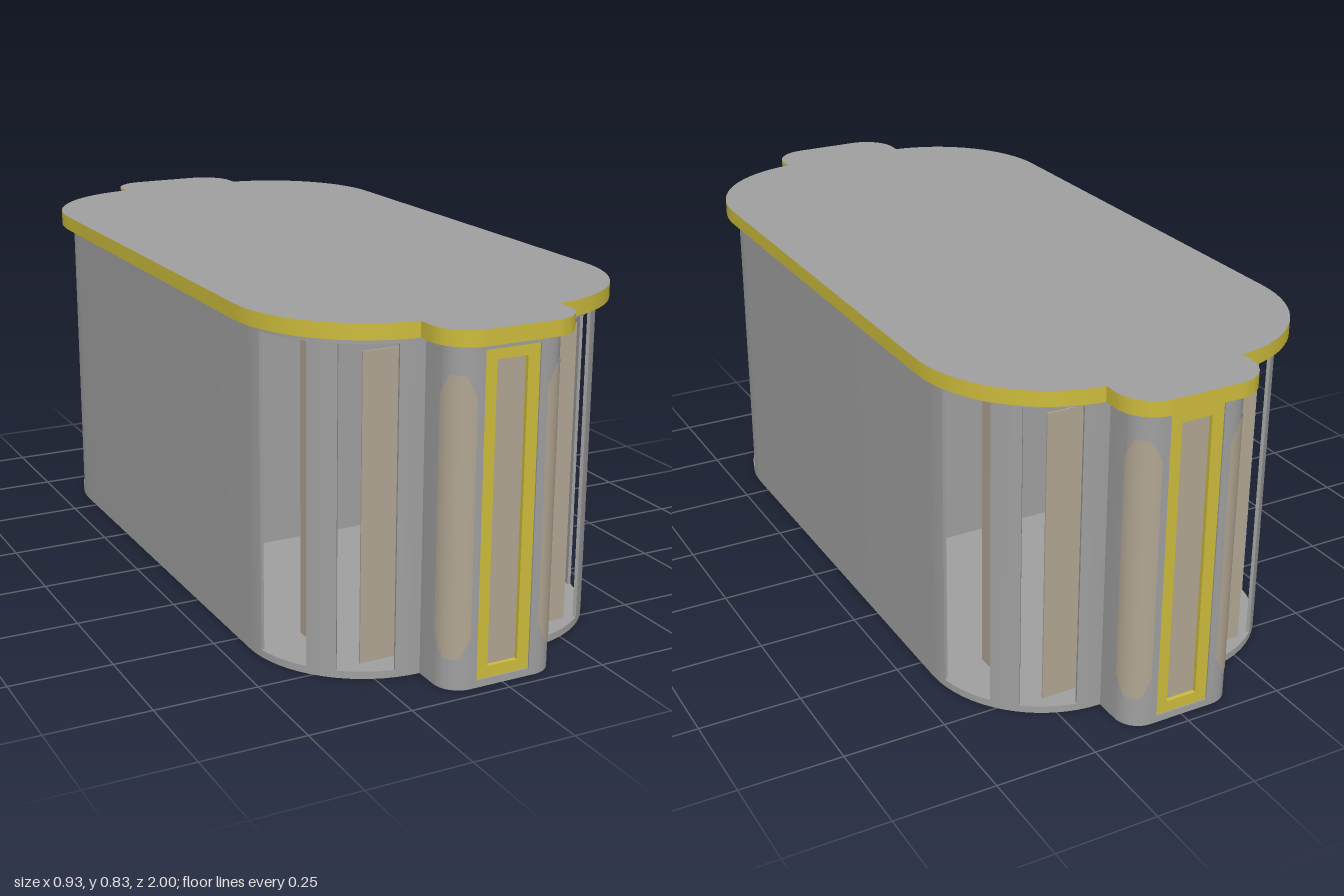
import * as THREE from 'three';
import { toCreasedNormals } from 'three/addons/utils/BufferGeometryUtils.js';

const grey = new THREE.MeshStandardMaterial({ color: 0xa0a0a0 });
grey.name = 'grey';
const yellow = new THREE.MeshStandardMaterial({ color: 0xcdbc3c });
yellow.name = 'yellow';
const beige = new THREE.MeshStandardMaterial({ color: 0xb2a693, side: THREE.DoubleSide });
beige.name = 'beige';

const T = 0.008;                       // wall thickness
const SILL = 0.018, HEAD = 0.778, TOP = 0.795, ROOF = 0.832;
const rad = THREE.MathUtils.degToRad;
const quadrants = [[1, 1], [-1, 1], [1, -1], [-1, -1]];

// arc in plan: angle 0 points along z, 90 along x
function arc(cx, cz, r, a0, a1, n = 16) {
  return Array.from({ length: n + 1 }, (_, i) => {
    const a = rad(a0 + (a1 - a0) * i / n);
    return [cx + r * Math.sin(a), cz + r * Math.cos(a)];
  });
}
// the big rounded corner and the small bay corner, grown by g
const mainArc = (g, a0, a1) => arc(0.145, 0.56, 0.29 + g, a0, a1);
const bayArc = (g) => arc(0.085, 0.91, 0.06 + g, 90, 0);

// extrude a plan polygon of [x, z] points from y0 to y1
function slab(name, points, y0, y1, material) {
  const shape = new THREE.Shape(points.map(([x, z]) => new THREE.Vector2(x, -z)));
  const geo = new THREE.ExtrudeGeometry(shape, { depth: y1 - y0, bevelEnabled: false });
  geo.rotateX(-Math.PI / 2).translate(0, y0, 0);
  const mesh = new THREE.Mesh(toCreasedNormals(geo, 0.5), material);
  mesh.name = name;
  return mesh;
}

// whole plan outline, grown by g
function outline(g) {
  const start = THREE.MathUtils.radToDeg(Math.asin(Math.max(g, 0) / (0.29 + g)));
  const q = [...mainArc(g, 90, start), ...bayArc(g)];
  const half = [...q, ...q.map(([x, z]) => [-x, z]).reverse()];
  return [...half, ...half.map(([x, z]) => [-x, -z])];
}

export function createModel() {
  const model = new THREE.Group();
  const add = (name, geo, mat, x, y, z) => {
    const mesh = new THREE.Mesh(geo, mat);
    mesh.name = name;
    mesh.position.set(x, y, z);
    model.add(mesh);
    return mesh;
  };

  // floor and roof
  model.add(slab('floor', outline(0), 0, SILL, grey));
  model.add(slab('roof', outline(0.03), TOP, ROOF, [grey, yellow]));

  // thin walls described once per quadrant
  const pieces = [
    ['sideWall', (g) => [[0.435 + g, 0], ...mainArc(g, 90, 79)], SILL, TOP],
    ['windowPost', (g) => mainArc(g, 52.5, 38.4), SILL, TOP],
    ['bayWall', (g) => [...mainArc(g, 12, 0), ...bayArc(g), [0.069, 0.97 + g]], SILL, TOP],
    ['sideLintel', (g) => mainArc(g, 79, 52.5), HEAD, TOP],
    ['frontLintel', (g) => mainArc(g, 38.4, 12), HEAD, TOP],
    ['doorLintel', (g) => [[0.069, 0.97 + g], [0, 0.97 + g]], HEAD, TOP],
  ];
  for (const [sx, sz] of quadrants) {
    for (const [name, path, y0, y1] of pieces) {
      const ring = [...path(0), ...path(-T).reverse()].map(([x, z]) => [x * sx, z * sz]);
      model.add(slab(name, ring, y0, y1, grey));
    }

    // flat panes standing just inside the openings
    const paneY = (0.033 + 0.76) / 2, paneH = 0.727;
    add('frontPane', new THREE.BoxGeometry(0.09, paneH, 0.004), beige, sx * 0.23, paneY, sz * 0.805);
    add('sidePane', new THREE.BoxGeometry(0.004, paneH, 0.09), beige, sx * 0.32, paneY, sz * 0.645);

    // curved pane wrapped round the bay corner, shorter toward its ends
    const geo = new THREE.PlaneGeometry(1, 1, 16, 1);
    const p = geo.attributes.position;
    for (let i = 0; i < p.count; i++) {
      const u = p.getX(i) + 0.5, a = rad(3 + 84 * u);
      const end = Math.max(0, Math.abs(u - 0.5) - 0.22) / 0.28;
      const h = 0.325 - 0.05 * end;
      p.setXYZ(i, sx * (0.085 + 0.0615 * Math.sin(a)), 0.4 + Math.sign(p.getY(i)) * h,
        sz * (0.91 + 0.0615 * Math.cos(a)));
    }
    geo.computeVertexNormals();
    add('cornerPane', geo, beige, 0, 0, 0);
  }

  // doors set into the bays
  const frame = new THREE.Shape([[-0.069, SILL], [0.069, SILL], [0.069, HEAD], [-0.069, HEAD]]
    .map(([x, y]) => new THREE.Vector2(x, y)));
  frame.holes.push(new THREE.Path([[-0.039, 0.045], [-0.039, 0.753], [0.039, 0.753], [0.039, 0.045]]
    .map(([x, y]) => new THREE.Vector2(x, y))));
  const frameGeo = new THREE.ExtrudeGeometry(frame, { depth: 0.02, bevelEnabled: false });
  for (const s of [1, -1]) {
    add('doorFrame', frameGeo, yellow, 0, 0, s > 0 ? 0.946 : -0.966);
    add('doorPane', new THREE.BoxGeometry(0.078, 0.708, 0.004), beige, 0, 0.399, s * 0.954);
  }

  // partition across the middle with a coloured strip along its head
  add('partition', new THREE.BoxGeometry(0.854, HEAD - SILL, 0.04), grey, 0, (SILL + HEAD) / 2, 0);
  add('partitionStrip', new THREE.BoxGeometry(0.854, TOP - HEAD, 0.04), yellow, 0, (HEAD + TOP) / 2, 0);
  return model;
}
